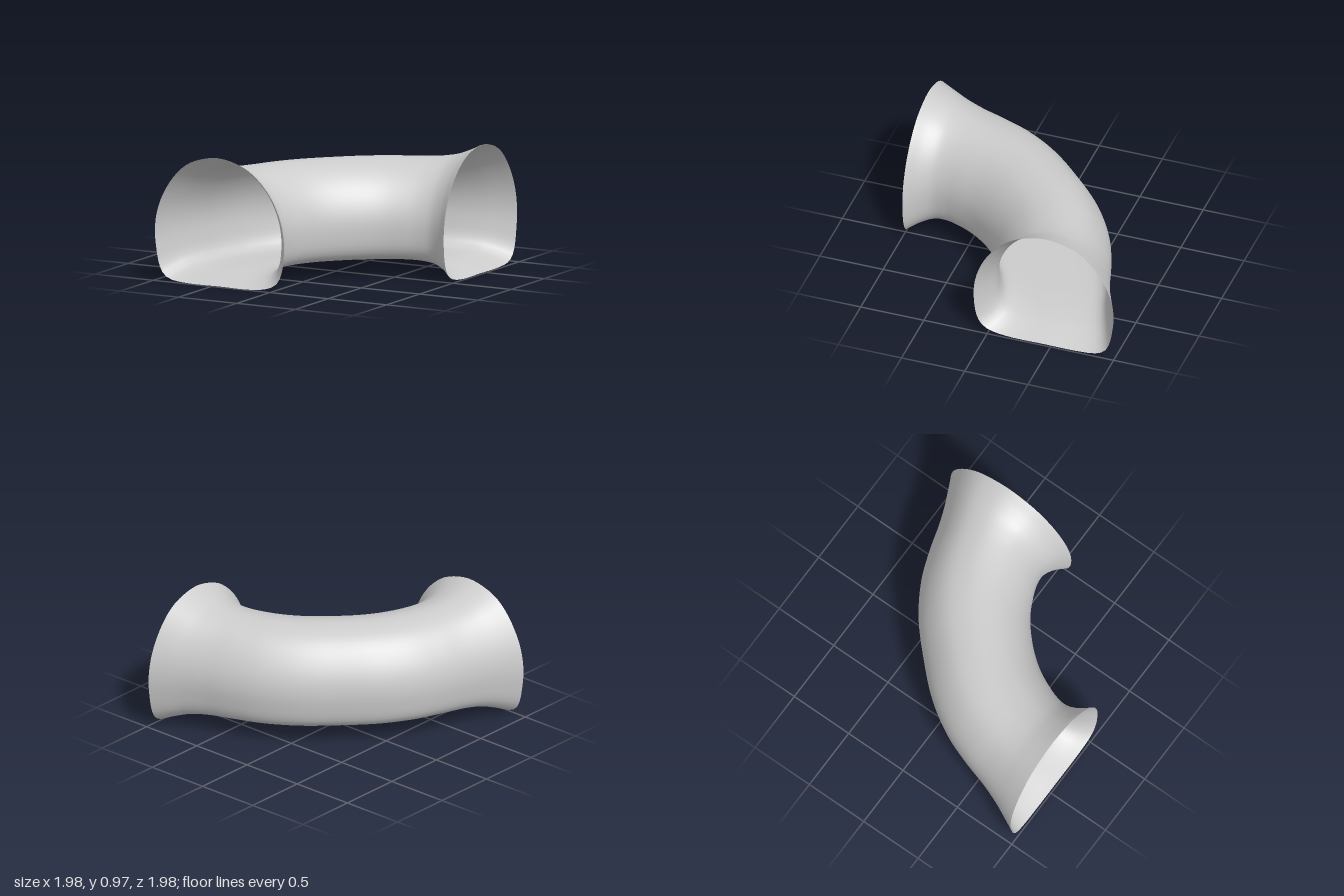
import * as THREE from 'three';

// Half of the bend, from the front mouth to the middle:
// outer wall x, z, inner wall x, z, and amount of vertical flare
const HALF = [
  [-0.995, 0.985, 0.11, 0.985, 1],
  [-0.945, 0.88, 0.04, 0.9, 0.62],
  [-0.89, 0.76, 0.0, 0.8, 0.27],
  [-0.83, 0.6, 0.01, 0.7, 0.08],
  [-0.77, 0.4, 0.05, 0.59, 0.01],
  [-0.68, 0.17, 0.11, 0.47, 0],
  [-0.53, -0.07, 0.18, 0.37, 0],
  [-0.31, -0.31, 0.27, 0.27, 0],
];

// Arched cross-section with a flat floor: u runs outer to inner wall, v floor to crown
const SECTION = [
  [0.13, 0.015], [0.26, 0], [0.5, 0], [0.74, 0], [0.87, 0.02], [0.94, 0.06],
  [0.98, 0.14], [1, 0.28], [0.997, 0.44], [0.963, 0.59], [0.9, 0.73], [0.81, 0.85],
  [0.69, 0.945], [0.5, 1], [0.35, 0.975], [0.24, 0.92], [0.145, 0.82], [0.06, 0.67],
  [0.015, 0.53], [0, 0.39], [0.012, 0.24], [0.035, 0.12], [0.07, 0.05],
];

function createBend(steps, sides) {
  // The second half mirrors the first across the diagonal x = z
  const mirrored = HALF.slice(0, -1).reverse().map(([a, b, c, d, f]) => [b, a, d, c, f]);
  const stations = [...HALF, ...mirrored];
  const spline = (pick) => new THREE.CatmullRomCurve3(stations.map(pick));
  const outer = spline(([x, z]) => new THREE.Vector3(x, 0, z));
  const inner = spline((s) => new THREE.Vector3(s[2], 0, s[3]));
  const flare = spline((s, i) => new THREE.Vector3(i, s[4], 0));
  const section = new THREE.CatmullRomCurve3(
    SECTION.map(([u, v]) => new THREE.Vector3(u, v, 0)), true).getSpacedPoints(sides);

  const positions = [];
  const indices = [];
  for (let i = 0; i <= steps; i++) {
    const t = i / steps;
    const o = outer.getPoint(t);
    const n = inner.getPoint(t);
    const f = flare.getPoint(t).y;
    const floor = 0.12 - 0.117 * f;
    const crown = 0.855 + 0.12 * f;
    for (let j = 0; j < sides; j++) {
      const p = o.clone().lerp(n, section[j].x);
      positions.push(p.x, floor + (crown - floor) * section[j].y, p.z);
      if (i < steps) {
        const k = (j + 1) % sides;
        const a = i * sides + j, b = i * sides + k;
        indices.push(a, a + sides, b, b, a + sides, b + sides);
      }
    }
  }
  const geometry = new THREE.BufferGeometry();
  geometry.setAttribute('position', new THREE.Float32BufferAttribute(positions, 3));
  geometry.setIndex(indices);
  geometry.computeVertexNormals();
  return geometry;
}

export function createModel() {
  const group = new THREE.Group();
  group.name = 'curvedTunnel';
  // Thin shell, open at both flared mouths
  const material = new THREE.MeshStandardMaterial({ color: 0xcccccc, side: THREE.DoubleSide });
  const shell = new THREE.Mesh(createBend(84, 72), material);
  shell.name = 'tunnelShell';
  group.add(shell);
  return group;
}
